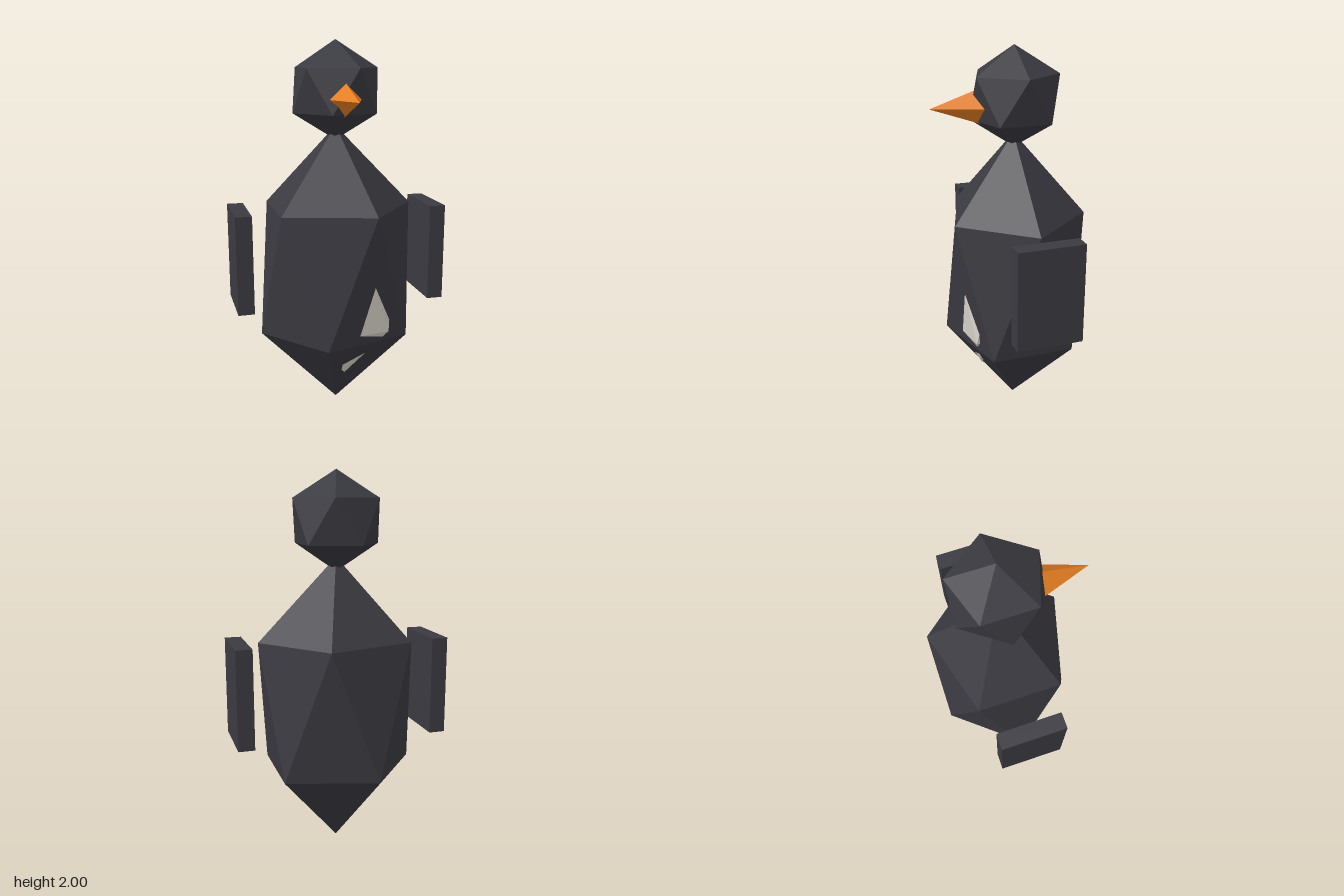
import * as THREE from 'three';
import { ConvexGeometry } from 'three/addons/geometries/ConvexGeometry.js';

const makeMaterial = (name, color) => {
  const m = new THREE.MeshStandardMaterial({ color, flatShading: true });
  m.name = name;
  return m;
};

// Upright icosahedron: two poles and two offset rings of five, stretched to the given radii
function icosahedron(rx, ry, rz) {
  const points = [new THREE.Vector3(0, ry, 0), new THREE.Vector3(0, -ry, 0)];
  for (let i = 0; i < 5; i++) {
    const a = (i * 2 * Math.PI) / 5;
    const x = 0.8944 * rx * Math.cos(a);
    const z = 0.8944 * rz * Math.sin(a);
    points.push(new THREE.Vector3(x, 0.4472 * ry, z), new THREE.Vector3(-x, -0.4472 * ry, -z));
  }
  return new ConvexGeometry(points);
}

export function createModel() {
  const model = new THREE.Group();
  model.name = 'bird';
  const charcoal = makeMaterial('charcoal feathers', 0x3a3a41);
  const cream = makeMaterial('cream belly', 0xd9d3c9);
  const orange = makeMaterial('orange beak', 0xe67e22);

  const add = (name, geometry, material, x, y, z) => {
    const mesh = new THREE.Mesh(geometry, material);
    mesh.name = name;
    mesh.position.set(x, y, z);
    model.add(mesh);
  };

  add('body', icosahedron(0.47, 0.78, 0.417), charcoal, 0, 0.78, -0.047);
  add('head', icosahedron(0.257, 0.257, 0.257), charcoal, 0, 1.743, -0.05);

  // Belly sits inside the body; only its corners break the surface
  add('belly', icosahedron(0.304, 0.458, 0.173), cream, 0, 0.69, 0.139);

  // Four-sided beak, pointing forwards
  const beak = new THREE.ConeGeometry(0.096, 0.28, 4).rotateX(Math.PI / 2);
  add('beak', beak, orange, 0, 1.705, 0.25);

  // Slab wings standing off both sides
  for (const [name, side] of [['leftWing', 1], ['rightWing', -1]]) {
    add(name, new THREE.BoxGeometry(0.086, 0.522, 0.346), charcoal, side * 0.523, 0.872, -0.048);
  }
  return model;
}
